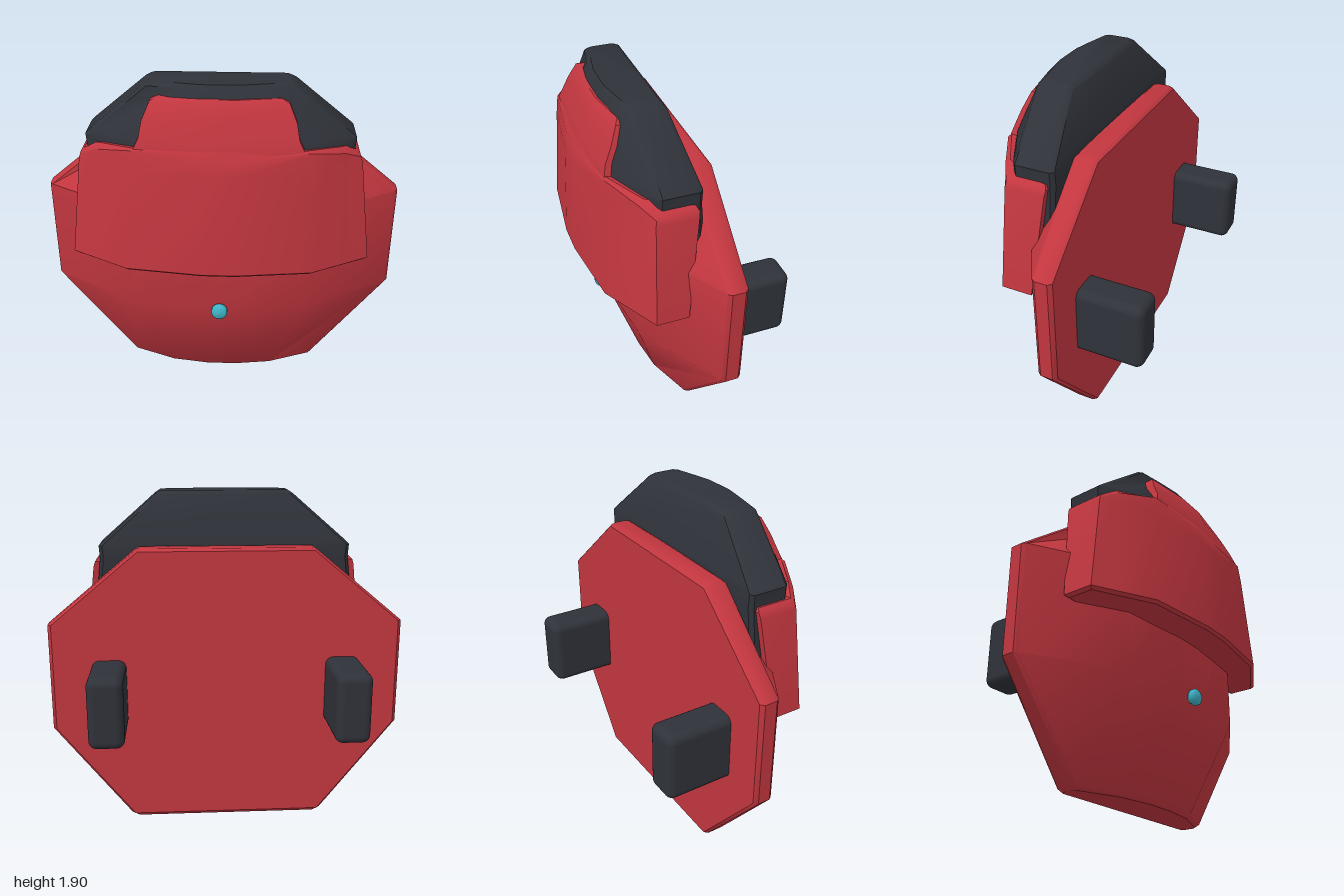
import * as THREE from 'three';
import { toCreasedNormals } from 'three/addons/utils/BufferGeometryUtils.js';
import { RoundedBoxGeometry } from 'three/addons/geometries/RoundedBoxGeometry.js';

const mat = (name, color) => new THREE.MeshStandardMaterial({ name, color });

// Closed loft through stacked rows. Each row is [y, ...points]; a point is
// [x, z, y offset] on the +x half, from back to front, mirrored to -x.
function loft(rows, crease = 0.6) {
  const loops = rows.map(([y, ...half]) => {
    const right = half.map(([x, z, dy = 0]) => [x, y + dy, z]);
    const left = right.map(([x, py, z]) => [-x, py, z]).reverse();
    return [...right, ...left];
  });
  const n = loops[0].length;
  const index = [];
  for (let i = 0; i < loops.length - 1; i++) {
    for (let j = 0; j < n; j++) {
      const k = (j + 1) % n;
      const a0 = i * n + j, b0 = i * n + k, a1 = a0 + n, b1 = b0 + n;
      index.push(b0, a0, a1, b0, a1, b1);
    }
  }
  const top = (loops.length - 1) * n;
  for (let j = 1; j < n - 1; j++) {
    index.push(0, j, j + 1, top, top + j + 1, top + j);
  }
  const geo = new THREE.BufferGeometry();
  geo.setAttribute('position', new THREE.Float32BufferAttribute(loops.flat(2), 3));
  geo.setIndex(index);
  return toCreasedNormals(geo, crease);
}

export function createModel() {
  const red = mat('red shell', 0xc2363f);
  const black = mat('charcoal', 0x2f3239);
  const teal = mat('teal', 0x3fb4c9);
  const model = new THREE.Group();
  const add = (name, geo, material) => {
    const mesh = new THREE.Mesh(geo, material);
    mesh.name = name;
    model.add(mesh);
    return mesh;
  };

  // Octagonal body: flat back with softened rim, bulging front
  const bodyRow = (y, hw, side, midX, midZ, front, inset = 0) => [
    y, [hw - 0.02, -0.13 + inset], [hw, -0.11 + inset], [hw, side - 0.02 - inset],
    [hw - 0.015, side - inset], [midX, midZ - inset], [0.09, front - inset],
  ];
  add('body', loft([
    bodyRow(0, 0.54, 0.0, 0.3, 0.09, 0.12, 0.015),
    bodyRow(0.02, 0.565, 0.0, 0.3, 0.1, 0.13),
    bodyRow(0.57, 1, -0.02, 0.5, 0.27, 0.32),
    bodyRow(1.18, 1, -0.02, 0.5, 0.27, 0.31),
    bodyRow(1.585, 0.51, 0.0, 0.3, 0.01, 0.015),
    bodyRow(1.6, 0.49, 0.0, 0.3, 0, 0, 0.015),
  ]), red);

  // Dark padded block behind the lid
  const padRow = (y, hw, back, side, midX, midZ, front) => [
    y, [hw - 0.02, back], [hw, back + 0.02], [hw, side - 0.02],
    [hw - 0.02, side], [midX, midZ], [0.09, front],
  ];
  add('innerPad', loft([
    padRow(0.95, 0.77, 0.0, 0.2, 0.45, 0.38, 0.43),
    padRow(1.53, 0.705, 0.0, 0.23, 0.43, 0.39, 0.42),
    padRow(1.6, 0.71, 0.0, 0.23, 0.43, 0.37, 0.4),
    padRow(1.62, 0.69, 0.005, 0.23, 0.43, 0.365, 0.39),
    padRow(1.88, 0.39, 0.065, 0.26, 0.22, 0.29, 0.31),
    padRow(1.9, 0.36, 0.085, 0.24, 0.2, 0.27, 0.29),
  ]), black);

  // Overhanging front lid with stepped shoulders
  add('lid', loft([
    [0.9, [0.8, 0.12], [0.8, 0.265], [0.68, 0.33], [0.49, 0.435], [0.09, 0.485]],
    [0.915, [0.817, 0.1], [0.817, 0.275], [0.69, 0.345], [0.5, 0.45], [0.09, 0.5]],
    [1.48, [0.745, 0.035], [0.745, 0.255], [0.65, 0.31], [0.46, 0.42], [0.09, 0.47]],
    [1.5, [0.735, 0.03, 0.01], [0.735, 0.25, 0.01], [0.65, 0.305, 0.05],
      [0.45, 0.41, 0.09], [0.09, 0.455, 0.05]],
    [1.53, [0.715, 0.04], [0.715, 0.24], [0.64, 0.28, 0.05], [0.43, 0.4, 0.07], [0.09, 0.435, 0.07]],
  ]), red);

  // Central tab rising from the lid, leaning back over the pad
  add('lidTab', loft([
    [1.52, [0.43, 0.2], [0.44, 0.41], [0.09, 0.455]],
    [1.6, [0.43, 0.2], [0.43, 0.405], [0.09, 0.435]],
    [1.65, [0.405, 0.2], [0.405, 0.39], [0.09, 0.42]],
    [1.73, [0.39, 0.2], [0.39, 0.355], [0.09, 0.39]],
    [1.82, [0.35, 0.2], [0.35, 0.315], [0.09, 0.355]],
    [1.838, [0.31, 0.2], [0.31, 0.295], [0.09, 0.335]],
  ]), red);

  // Two rear clips
  for (const [name, side] of [['leftClip', 1], ['rightClip', -1]]) {
    add(name, new RoundedBoxGeometry(0.195, 0.395, 0.44, 4, 0.045), black)
      .position.set(side * 0.667, 0.775, -0.28);
  }

  // Small round button
  const profile = [[0, 0], [0.03, 0], [0.045, 0.018], [0.045, 0.042], [0.03, 0.055], [0, 0.058]]
    .map(([r, h]) => new THREE.Vector2(r, h));
  const button = add('button', new THREE.LatheGeometry(profile, 20), teal);
  button.rotation.x = Math.PI / 2;
  button.position.set(0, 0.57, 0.313);

  return model;
}
